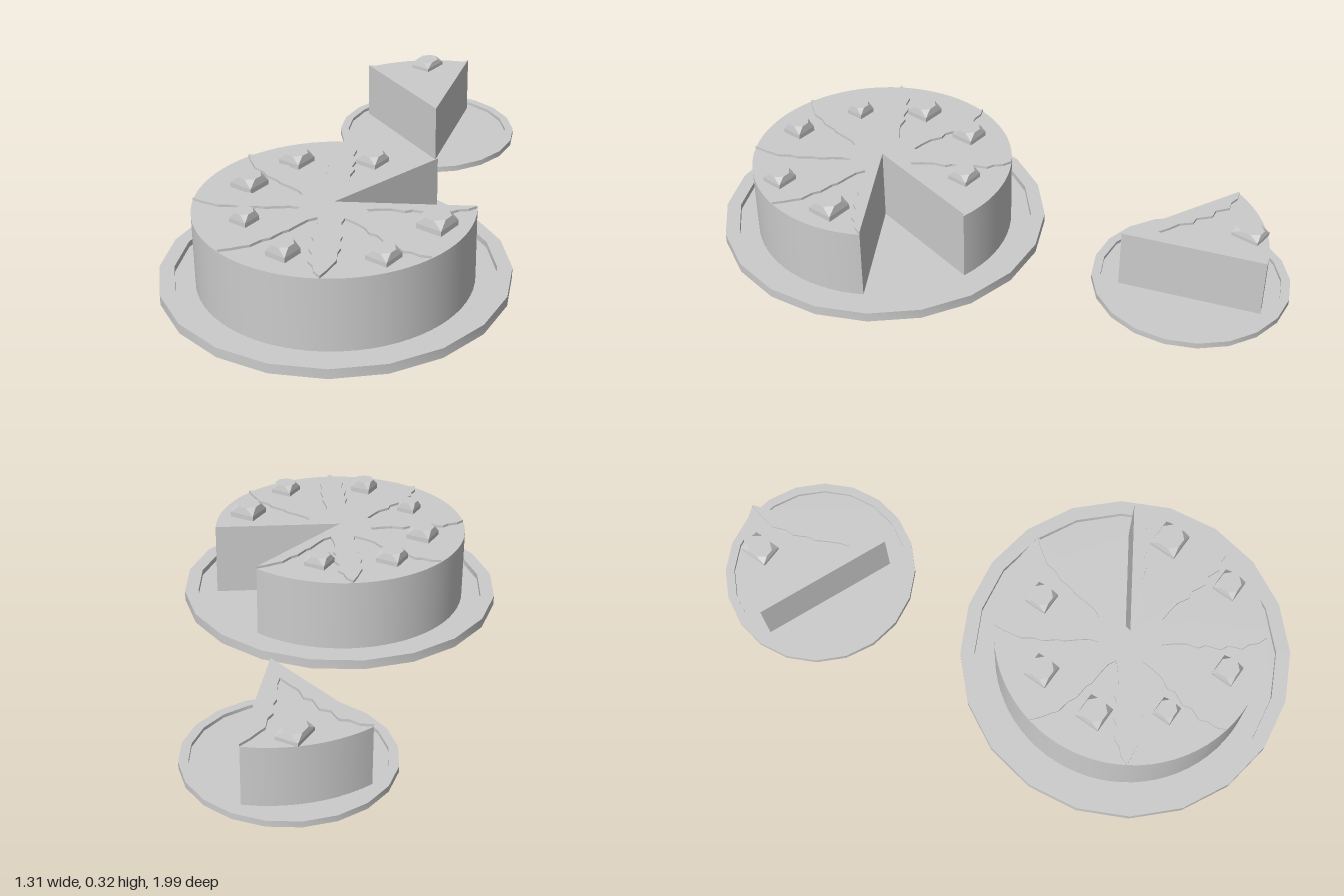
import * as THREE from 'three';
import { toCreasedNormals } from 'three/addons/utils/BufferGeometryUtils.js';
import { ConvexGeometry } from 'three/addons/geometries/ConvexGeometry.js';

const deg = Math.PI / 180;
const smooth = new THREE.MeshStandardMaterial({ color: 0xcccccc, side: THREE.DoubleSide });
const faceted = new THREE.MeshStandardMaterial({ color: 0xcccccc, side: THREE.DoubleSide, flatShading: true });

function add(parent, name, geometry, material = smooth) {
  const mesh = new THREE.Mesh(geometry, material);
  mesh.name = name;
  parent.add(mesh);
  return mesh;
}

function makeGroup(parent, name, x, z) {
  const group = new THREE.Group();
  group.name = name;
  group.position.set(x, 0, z);
  parent.add(group);
  return group;
}

// Plate: solid rim around a thin raised floor, cut out beneath the cake
function addPlate(parent, name, p) {
  const plate = makeGroup(parent, name, p.x, p.z);
  const profile = [[p.inner, 0], [p.outer, 0], [p.outer, p.height], [p.inner, p.height], [p.inner, 0]];
  const rim = new THREE.LatheGeometry(profile.map(([r, y]) => new THREE.Vector2(r, y)), 20);
  add(plate, name + 'Rim', toCreasedNormals(rim, 0.6));

  const floor = new THREE.Shape().absarc(0, 0, p.inner, 0, Math.PI * 2);
  const dx = p.cake.x - p.x, dz = p.cake.z - p.z;
  const hole = new THREE.Path().moveTo(dx, dz);
  hole.absarc(dx, dz, p.cake.r, p.cake.a0, p.cake.a1).lineTo(dx, dz);
  floor.holes.push(hole);
  add(plate, name + 'Floor', new THREE.ShapeGeometry(floor, 40).rotateX(Math.PI / 2)).position.y = p.floorY;
}

// Hollow sector of cake: curved crust, two cut faces and a top
function addCake(parent, name, c) {
  const cake = makeGroup(parent, name, c.x, c.z);
  const sweep = c.a1 - c.a0, h = c.top - c.base;
  const segments = Math.round(sweep / (5 * deg));
  const crust = new THREE.CylinderGeometry(c.r, c.r, h, segments, 1, true, Math.PI / 2 - c.a1, sweep);
  add(cake, 'crust', crust).position.y = c.base + h / 2;
  for (const a of [c.a0, c.a1]) {
    const cut = new THREE.PlaneGeometry(c.r, h).translate(c.r / 2, h / 2, 0).rotateY(-a);
    add(cake, 'cutFace', cut).position.y = c.base;
  }
  const top = new THREE.CircleGeometry(c.r, segments, c.a0, sweep).rotateX(Math.PI / 2);
  add(cake, 'cakeTop', top).position.y = c.top;

  // Jagged cream along both edges of every portion
  const step = sweep / c.portions;
  for (let i = 0; i < c.portions; i++) {
    const cream = new THREE.ExtrudeGeometry(creamShape(c.r, step, c.creamWidth), { depth: 0.01, bevelEnabled: false });
    cream.rotateX(Math.PI / 2).rotateY(-(c.a0 + i * step));
    add(cake, 'cream', cream, faceted).position.y = c.top + 0.009;
  }
}

// V-shaped outline: straight on the outside, ragged on the inside
function creamShape(r, angle, width) {
  const jags = [[0.94, 0.5], [0.87, 0.65], [0.82, 1.05], [0.72, 0.85], [0.66, 1.2], [0.55, 0.9],
    [0.5, 1.15], [0.41, 0.85], [0.32, 0.9]];
  const first = jags.map(([t, w]) => [t * r, w * width]);
  const second = jags.map(([t, w], i) => {
    const along = (t - 0.02) * r, across = (w + (i % 2 ? 0.1 : -0.05)) * width;
    return [along * Math.cos(angle) + across * Math.sin(angle), along * Math.sin(angle) - across * Math.cos(angle)];
  }).reverse();
  const joint = [0.25 * r * Math.cos(angle / 2), 0.25 * r * Math.sin(angle / 2)];
  const points = [[0, 0], [r, 0], ...first, joint, ...second, [r * Math.cos(angle), r * Math.sin(angle)]];
  return new THREE.Shape(points.map(([x, y]) => new THREE.Vector2(x, y)));
}

// Fruit chunk: low block with its top corners sliced off
function addChunk(parent, x, y, z, w, d, h) {
  const points = [];
  for (const sx of [-1, 1]) for (const sz of [-1, 1]) {
    points.push(
      new THREE.Vector3(sx, 0, sz), new THREE.Vector3(sx, 0.4, sz),
      new THREE.Vector3(sx * 0.9, 1, sz * 0.35), new THREE.Vector3(sx * 0.35, 1, sz * 0.9));
  }
  const geometry = new ConvexGeometry(points).scale(w / 2, h, d / 2);
  add(parent, 'fruitChunk', geometry, faceted).position.set(x, y, z);
}

export function createModel() {
  const model = new THREE.Group();
  model.name = 'cakeWithServedSlice';

  const cake = { x: 0.07, z: 0.41, r: 0.46, a0: -32.7 * deg, a1: 281.6 * deg, base: 0.014, top: 0.271,
    portions: 7, creamWidth: 0.042 };
  const slice = { x: -0.145, z: -0.475, r: 0.493, a0: 202 * deg, a1: 250.5 * deg, base: 0.009, top: 0.214,
    portions: 1, creamWidth: 0.058 };

  addPlate(model, 'largePlate', { x: 0.07, z: 0.41, outer: 0.582, inner: 0.532, height: 0.035, floorY: 0.014, cake });
  addPlate(model, 'smallPlate', { x: -0.315, z: -0.66, outer: 0.342, inner: 0.311, height: 0.021, floorY: 0.009, cake: slice });
  addCake(model, 'cake', cake);
  addCake(model, 'servedSlice', slice);

  // Fruit on each portion: x, z, size, height
  const chunks = [[-0.01, 0.1, 0.08, 0.037], [-0.22, 0.25, 0.085, 0.04], [-0.235, 0.475, 0.088, 0.042],
    [-0.09, 0.665, 0.067, 0.038], [0.143, 0.752, 0.076, 0.043], [0.402, 0.59, 0.08, 0.037], [0.42, 0.335, 0.096, 0.045]];
  for (const [x, z, s, h] of chunks) addChunk(model, x, 0.271, z, s, s, h);
  addChunk(model, -0.42, 0.214, -0.81, 0.078, 0.1, 0.03);
  return model;
}
